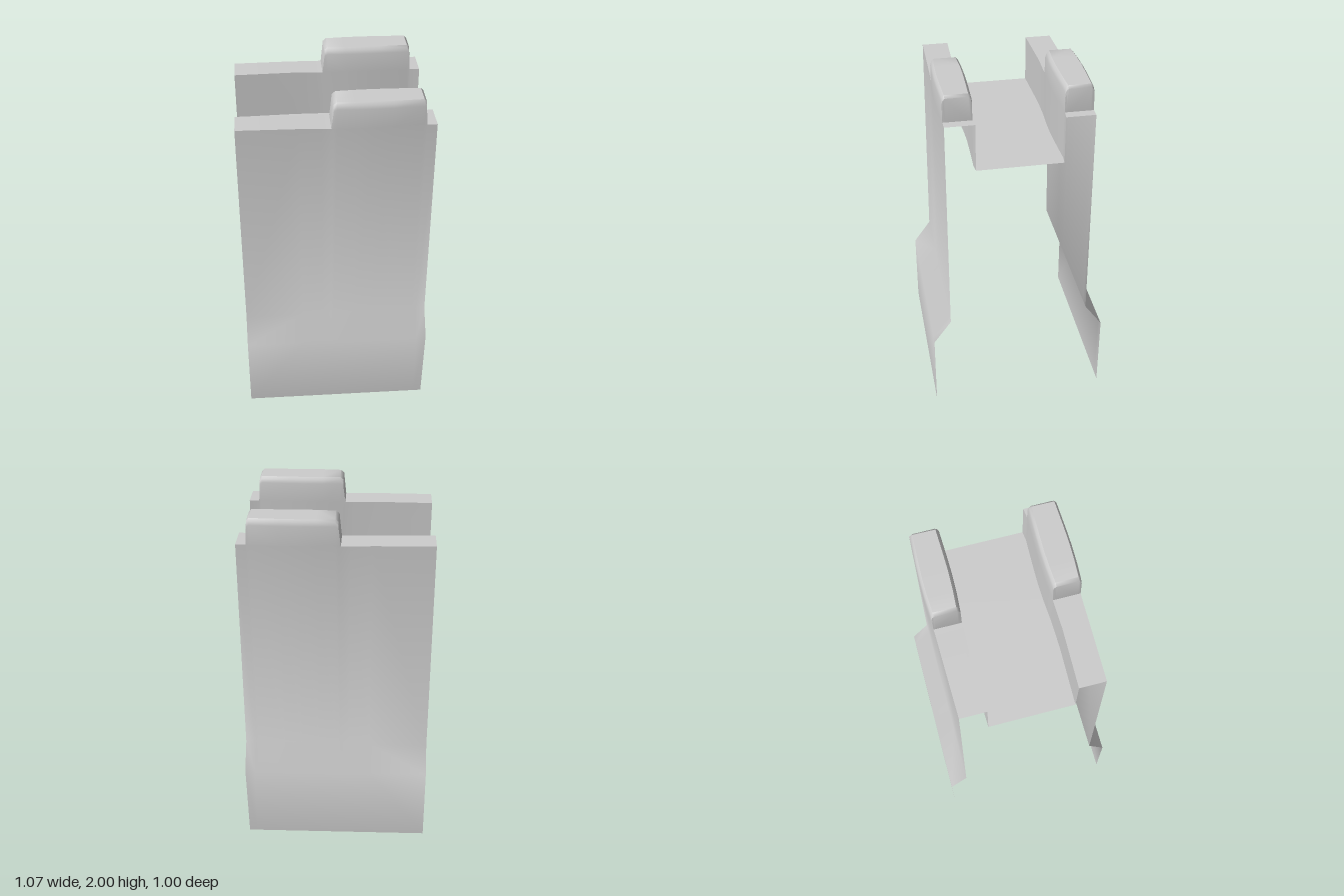
import * as THREE from 'three';
import { toCreasedNormals } from 'three/addons/utils/BufferGeometryUtils.js';

const material = new THREE.MeshStandardMaterial({ color: 0xcccccc, side: THREE.DoubleSide });
const LEDGE = 1.855, TRAY = 1.585, TOP = 2;

// Stations along x: [x, outer z, inner z, ledge y, raised (0..1)]
const stations = [
  [-0.535, 0.388, 0.240, 1.857, 0],
  [-0.20, 0.394, 0.249, 1.856, 0],
  [-0.08, 0.396, 0.247, 1.852, 0],
  [-0.03, 0.398, 0.246, 1.852, 0],
  [-0.018, 0.400, 0.245, 1.852, 0.9],
  [0.0, 0.401, 0.244, 1.853, 1],
  [0.10, 0.407, 0.238, LEDGE, 1],
  [0.20, 0.409, 0.236, LEDGE, 1],
  [0.30, 0.407, 0.238, LEDGE, 1],
  [0.455, 0.401, 0.243, LEDGE, 1],
  [0.468, 0.400, 0.244, LEDGE, 0.9],
  [0.475, 0.400, 0.244, LEDGE, 0],
  [0.53, 0.399, 0.238, LEDGE, 0],
];

// Skin a surface over cross-sections; profile(station) returns [z, y] points
function loft(name, profile, side = 1) {
  const rows = stations.map((s) => profile(s).map(([z, y, x = s[0]]) => [x, y, z * side]));
  const n = rows[0].length, index = [];
  for (let i = 0; i < rows.length - 1; i++) {
    for (let j = 0; j < n - 1; j++) {
      const a = i * n + j, b = a + n;
      index.push(...(side > 0 ? [a, b, b + 1, a, b + 1, a + 1] : [a, b + 1, b, a, a + 1, b + 1]));
    }
  }
  const geometry = new THREE.BufferGeometry();
  geometry.setAttribute('position', new THREE.Float32BufferAttribute(rows.flat(2), 3));
  geometry.setIndex(index);
  const mesh = new THREE.Mesh(toCreasedNormals(geometry, 0.8), material);
  mesh.name = name;
  return mesh;
}

// Tall wall with a flared skirt at the foot
const wallProfile = ([x, zo, , y]) => [
  [0.5, 0.004 - 0.0075 * x, x > 0.52 ? 0.522 : x],
  [0.5, 0.45],
  [0.4, 0.59],
  [zo, y],
];

// Ledge that rises into a rounded hump, then drops to the tray
const railProfile = ([, zo, zi, y, raised]) => {
  const h = (t) => THREE.MathUtils.lerp(y, t, raised);
  return [
    [zo, y], [zo, h(1.965)], [zo - 0.005, h(1.986)], [zo - 0.016, h(TOP)],
    [zi + 0.018, h(TOP)], [zi + 0.006, h(1.986)], [zi, h(1.965)], [zi, y],
    [zi, TRAY],
  ];
};

export function createModel() {
  const group = new THREE.Group();
  group.name = 'clip';
  for (const side of [1, -1]) {
    const half = side > 0 ? 'front' : 'back';
    group.add(loft(half + 'Wall', wallProfile, side), loft(half + 'Rail', railProfile, side));
  }
  // Floor of the channel between the rails
  group.add(loft('channelFloor', ([, , zi]) => [[zi, TRAY], [-zi, TRAY]]));
  return group;
}
